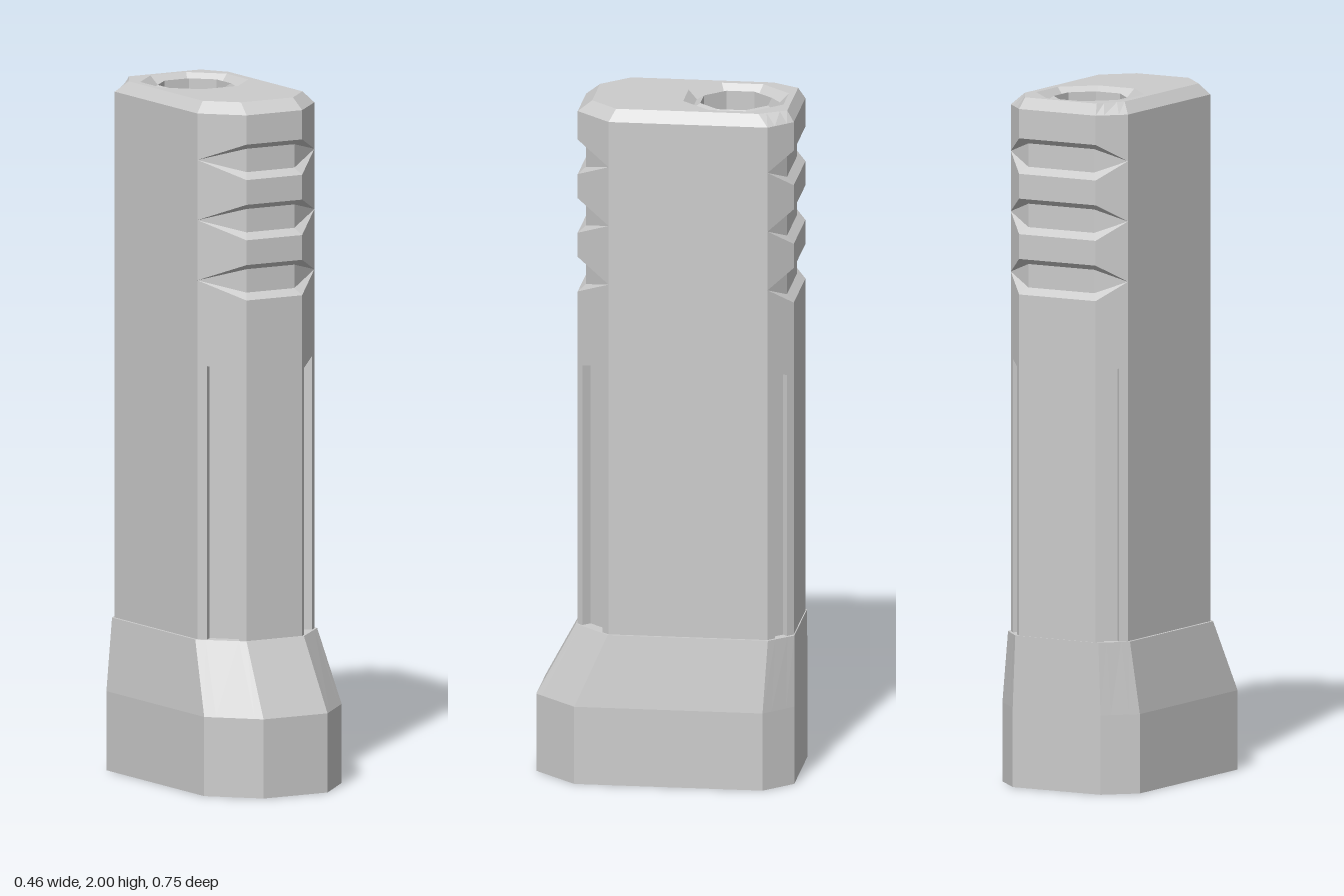
import * as THREE from 'three';

const material = new THREE.MeshStandardMaterial({ color: 0xcccccc, flatShading: true, side: THREE.DoubleSide });

// Sections with four cut corners: [x, z] where the chamfer meets the side (s)
// and where it meets the front or back flat (f)
const section = (fs, ff, bs, bf) => ({ front: { s: fs, f: ff }, back: { s: bs, f: bf } });
const foot = section([0.23, 0.25], [0.107, 0.376], [0.23, -0.295], [0.147, -0.376]);
const collar = section([0.204, 0.157], [0.096, 0.263], [0.204, -0.307], [0.139, -0.375]);
const shaft = section([0.196, 0.155], [0.093, 0.258], [0.196, -0.305], [0.128, -0.372]);
const groove = section([0.196, 0.155], [0.08, 0.236], [0.196, -0.305], [0.11, -0.35]);
const rim = section([0.167, 0.137], [0.087, 0.217], [0.167, -0.275], [0.12, -0.352]);

// Slot limits along each chamfer, and its depth
const slots = { front: { from: 0.2, to: 0.85, depth: 0.03 }, back: { from: 0.28, to: 0.74, depth: 0.018 } };

// Points across one chamfer, from side to flat; the middle pair sinks for a slot
function cornerPoints(sec, end, sx, ys, yf, recessed) {
  const { s, f } = sec[end], { from, to, depth } = slots[end];
  const S = new THREE.Vector3(sx * s[0], ys, s[1]);
  const F = new THREE.Vector3(sx * f[0], yf, f[1]);
  const inward = new THREE.Vector3(-sx * Math.abs(F.z - S.z), 0, (end === 'front' ? -1 : 1) * Math.abs(F.x - S.x));
  inward.setLength(recessed ? depth : 0);
  const at = t => S.clone().lerp(F, t);
  return [S, at(from), at(from).add(inward), at(to).add(inward), at(to), F];
}

// Closed ring, anticlockwise from above
function ring(sec, ys, yf = ys, recessed = false) {
  const corner = (end, sx) => cornerPoints(sec, end, sx, ys, yf, recessed);
  return [
    ...corner('front', -1), ...corner('front', 1).reverse(),
    ...corner('back', 1), ...corner('back', -1).reverse(),
  ];
}

// Skin between successive rings, leaving out collapsed triangles
function loft(name, rings) {
  const positions = [];
  const triangle = (a, b, c) => {
    if (new THREE.Triangle(a, b, c).getArea() > 1e-7) for (const p of [a, b, c]) positions.push(p.x, p.y, p.z);
  };
  for (let i = 0; i < rings.length - 1; i++) {
    const lo = rings[i], hi = rings[i + 1], n = lo.length;
    for (let j = 0; j < n; j++) {
      const k = (j + 1) % n;
      triangle(lo[j], lo[k], hi[k]);
      triangle(lo[j], hi[k], hi[j]);
    }
  }
  const geometry = new THREE.BufferGeometry();
  geometry.setAttribute('position', new THREE.Float32BufferAttribute(positions, 3));
  return addMesh(name, geometry);
}

function addMesh(name, geometry) {
  const flat = geometry.index ? geometry.toNonIndexed() : geometry;
  flat.computeVertexNormals();
  const mesh = new THREE.Mesh(flat, material);
  mesh.name = name;
  return mesh;
}

export function createModel() {
  const group = new THREE.Group();
  group.name = 'grip';

  // Flared base, open below, with a narrow ledge around the shaft
  group.add(loft('flaredBase', [ring(foot, 0), ring(foot, 0.23), ring(collar, 0.44), ring(shaft, 0.44)]));

  // Shaft with four corner slots, then three wedge grooves front and back
  const rows = [
    ring(shaft, 0.44), ring(shaft, 0.44, 0.44, true),
    ring(shaft, 1.241, 1.21, true), ring(shaft, 1.241, 1.21),
  ];
  for (const y of [1.483, 1.658, 1.833]) {
    rows.push(ring(shaft, y, y - 0.053), ring(groove, y, y - 0.034), ring(groove, y, y + 0.034), ring(shaft, y, y + 0.05));
  }
  rows.push(ring(shaft, 1.968), ring(rim, 2));
  group.add(loft('shaft', rows));

  // Top plate with an octagonal opening near the back
  const socketZ = -0.188, toCorner = 1 / Math.cos(Math.PI / 8), rimRadius = 0.145 * toCorner;
  const plate = new THREE.Shape(ring(rim, 2).map(p => new THREE.Vector2(p.x, -p.z)));
  const opening = [];
  for (let i = 0; i < 8; i++) {
    const a = Math.PI / 8 + i * Math.PI / 4;
    opening.push(new THREE.Vector2(rimRadius * Math.cos(a), rimRadius * Math.sin(a) - socketZ));
  }
  plate.holes.push(new THREE.Path(opening));
  const topPlate = addMesh('topPlate', new THREE.ShapeGeometry(plate).rotateX(-Math.PI / 2));
  topPlate.position.y = 2;
  group.add(topPlate);

  // Socket: sloped surround, small raised lip, deep octagonal well
  const profile = [[0.145, 2], [0.12, 1.975], [0.098, 1.99], [0.098, 1.85], [0, 1.85]]
    .map(([r, y]) => new THREE.Vector2(r * toCorner, y));
  const socket = addMesh('socket', new THREE.LatheGeometry(profile, 8, Math.PI / 8));
  socket.position.z = socketZ;
  group.add(socket);

  return group;
}
